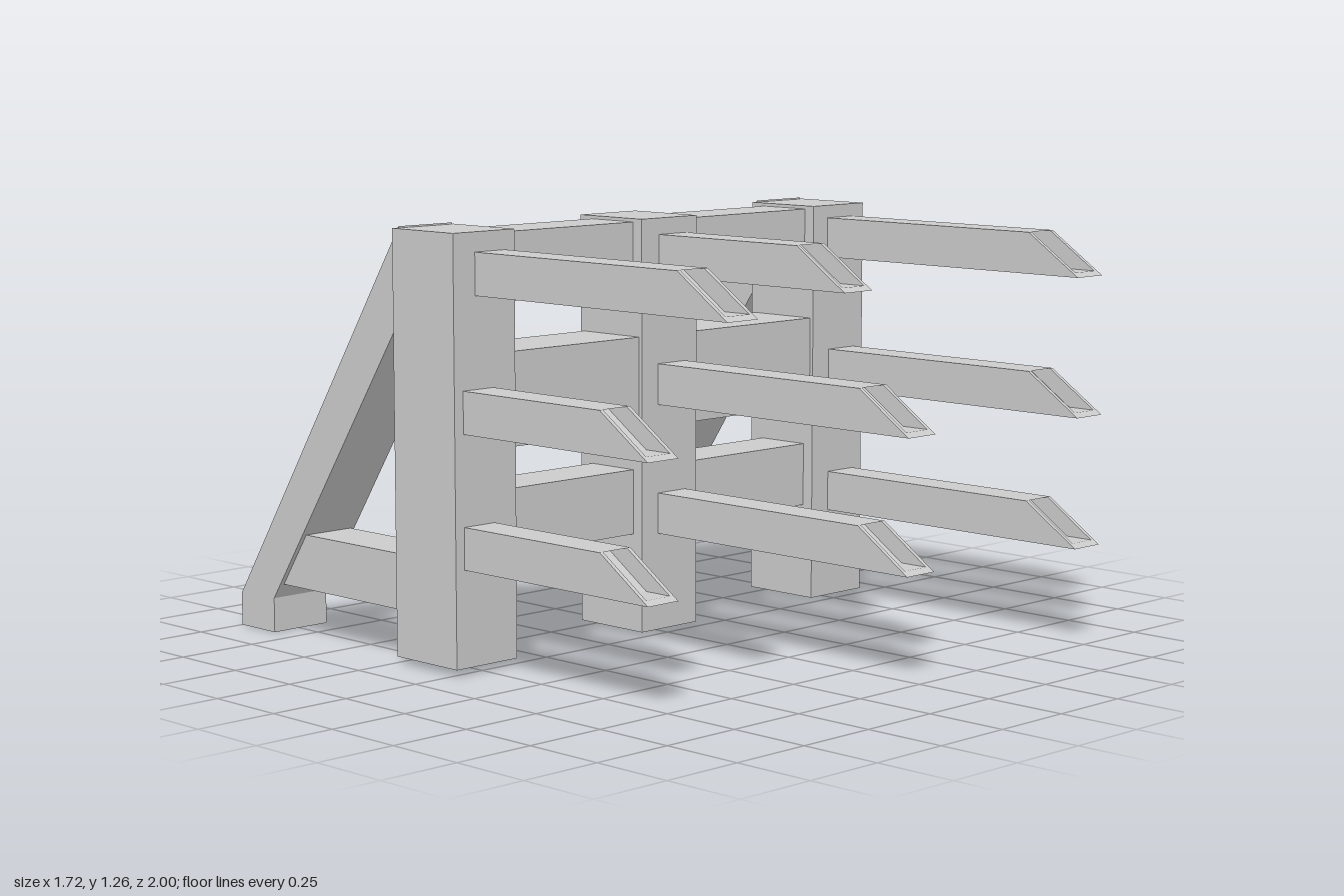
import * as THREE from 'three';

const material = new THREE.MeshStandardMaterial({ color: 0xcccccc, flatShading: true });
const doubleMaterial = new THREE.MeshStandardMaterial({ color: 0xcccccc, flatShading: true, side: THREE.DoubleSide });

// Box given by its limits on each axis
function box(name, [x0, x1], [y0, y1], [z0, z1]) {
  const mesh = new THREE.Mesh(new THREE.BoxGeometry(x1 - x0, y1 - y0, z1 - z0), material);
  mesh.position.set((x0 + x1) / 2, (y0 + y1) / 2, (z0 + z1) / 2);
  mesh.name = name;
  return mesh;
}

// Square stake with a slanted tip hollowed out by a shallow recess
function spike(x, y, tip) {
  const half = 0.0575, height = 0.123, slant = 0.185, wall = 0.013, back = 0.01, depth = 0.09;
  const slope = (h) => tip - slant * h / height;
  const ring = (w, low, zAt) => [[-w, low], [w, low], [w, height], [-w, height]].map(([px, py]) => [px, py, zAt(py)]);
  const rings = [
    ring(half, 0, () => back),
    ring(half, 0, slope),
    ring(half - wall, wall, slope),
    ring(half - wall, wall, (h) => slope(h) - depth),
  ];
  const index = [0, 2, 1, 0, 3, 2];
  for (let r = 0; r < rings.length - 1; r++) {
    for (let i = 0; i < 4; i++) {
      const a = r * 4 + i, b = r * 4 + (i + 1) % 4;
      index.push(a, b, b + 4, a, b + 4, a + 4);
    }
  }
  index.push(12, 13, 14, 12, 14, 15);
  const indexed = new THREE.BufferGeometry();
  indexed.setAttribute('position', new THREE.Float32BufferAttribute(rings.flat(2), 3));
  indexed.setIndex(index);
  const geometry = indexed.toNonIndexed();
  geometry.computeVertexNormals();
  const mesh = new THREE.Mesh(geometry, doubleMaterial);
  mesh.position.set(x, y, 0);
  mesh.name = 'spike';
  return mesh;
}

// Diagonal rear brace with an upright foot
function brace(x, width) {
  const profile = [[0.235, 1.0], [0.84, 0.105], [0.84, 0], [1, 0], [1, 0.1], [0.235, 1.265]];
  const shape = new THREE.Shape(profile.map(([u, v]) => new THREE.Vector2(u, v)));
  const geometry = new THREE.ExtrudeGeometry(shape, { depth: width, bevelEnabled: false });
  geometry.translate(0, 0, -width / 2).rotateY(Math.PI / 2);
  const mesh = new THREE.Mesh(geometry, material);
  mesh.position.x = x;
  mesh.name = 'brace';
  return mesh;
}

export function createModel() {
  const model = new THREE.Group();
  model.name = 'spikedBarricade';

  // Upright posts
  for (const x of [-0.745, -0.01, 0.74]) {
    model.add(box('post', [x - 0.115, x + 0.115], [0.02, 1.26], [-0.245, 0.017]));
  }

  // Horizontal beams, the middle one thicker
  model.add(box('topBeam', [-0.7, 0.7], [1.05, 1.25], [-0.197, -0.02]));
  model.add(box('middleBeam', [-0.7, 0.7], [0.635, 0.91], [-0.23, 0.005]));
  model.add(box('lowerBeam', [-0.7, 0.7], [0.315, 0.51], [-0.197, -0.02]));

  // Rear braces with their ties to the posts
  for (const x of [-0.744, 0.735]) {
    model.add(brace(x, 0.2));
    model.add(box('tie', [x - 0.085, x + 0.085], [0.15, 0.315], [-0.81, -0.23]));
  }

  // Spikes: x, bottom y, tip z
  const spikes = [
    [-0.722, 1.08, 1], [-0.77, 0.692, 0.755], [-0.77, 0.304, 0.755],
    [0.005, 1.088, 0.755], [0, 0.703, 1], [0, 0.313, 1],
    [0.747, 1.098, 1], [0.757, 0.684, 1], [0.757, 0.294, 1],
  ];
  for (const [x, y, tip] of spikes) model.add(spike(x, y, tip));

  return model;
}
